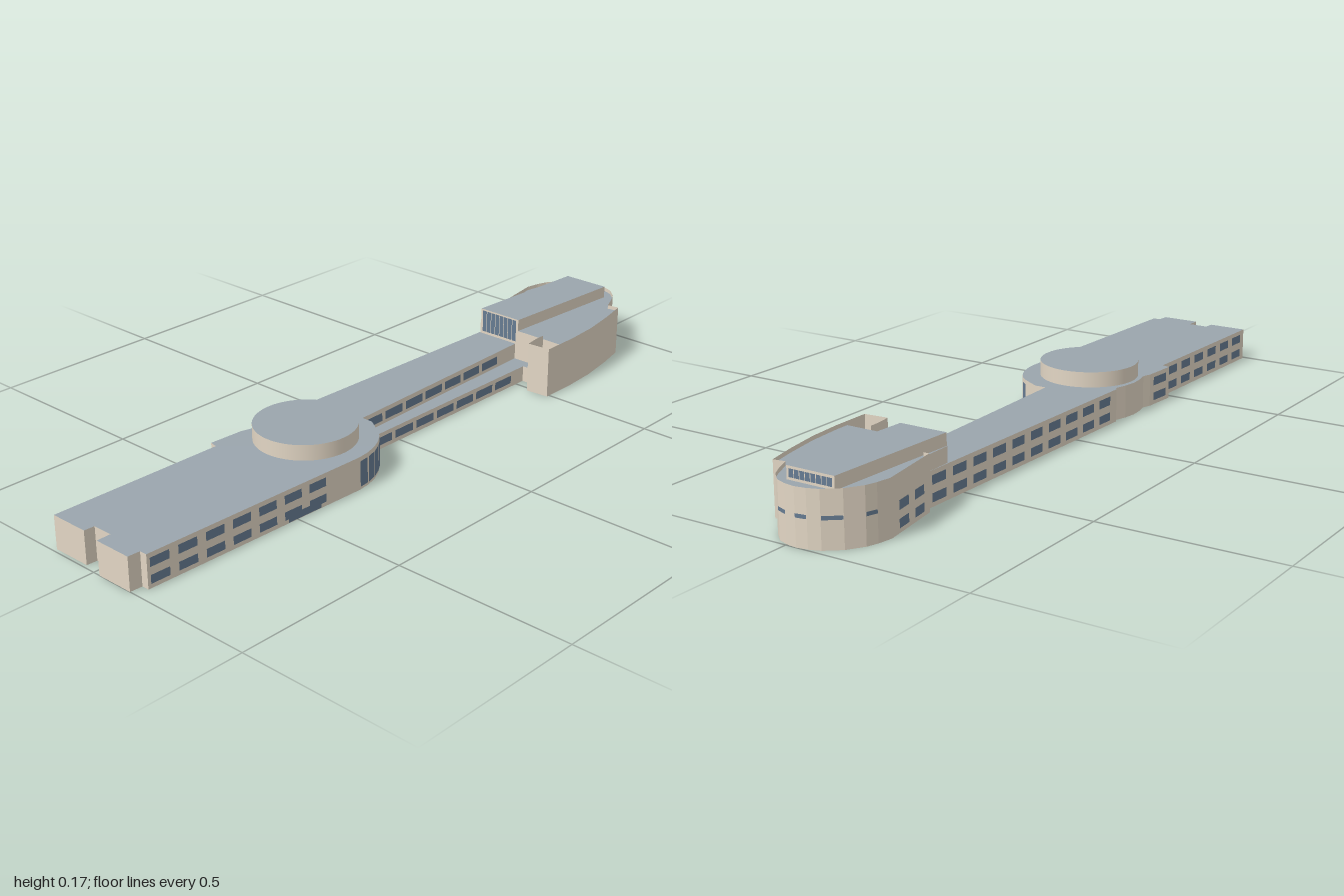
import * as THREE from 'three';

const wallMat = new THREE.MeshStandardMaterial({ color: 0xe2d6c4, side: THREE.DoubleSide });
wallMat.name = 'beige wall';
const roofMat = new THREE.MeshStandardMaterial({ color: 0x9aa5ad, side: THREE.DoubleSide });
roofMat.name = 'grey roof';
const glassMat = new THREE.MeshStandardMaterial({ color: 0x667b92 });
glassMat.name = 'blue glass';

// Plan points are [x, z], listed so the outside lies to the right of travel
const sideLeft = [[-0.13, -0.655], [-0.153, 0.2]];
const bulge = [[-0.145, 0.21], [-0.156, 0.245], [-0.161, 0.285], [-0.158, 0.32], [-0.15, 0.355],
  [-0.158, 0.38], [-0.164, 0.48], [-0.141, 0.485]];
const front = [[-0.15, 0.99], [-0.038, 0.99], [-0.036, 0.96], [0.021, 0.96], [0.021, 1], [0.13, 1],
  [0.132, 0.965], [0.153, 0.965]];
const sideRight = [[0.173, 0.285], [0.169, 0.25], [0.159, 0.215], [0.144, 0.185], [0.126, 0.16],
  [0.105, 0.142], [0.053, 0.11]];
const rear = [[0.1, -0.56], [0.1, -0.53], [0.106, -0.485], [0.174, -0.49], [0.174, -0.6], [0.167, -0.7],
  [0.15, -0.8], [0.131, -0.885], [0.097, -0.88], [0.075, -0.93], [0.06, -0.957], [0.03, -0.985],
  [0, -0.996], [-0.03, -1], [-0.06, -0.995], [-0.09, -0.984], [-0.13, -0.952], [-0.158, -0.91],
  [-0.168, -0.88], [-0.175, -0.84], [-0.146, -0.655], [-0.13, -0.655]];
const shelf = [[0.053, 0.11], [0.055, -0.53], [0.1, -0.53]];
const corridor = [[0.02, 0.11], [0, -0.56], [0.1, -0.56]];
const mainOutline = [...sideLeft, ...bulge, ...front, ...sideRight];

const LOW = 0.046, MAIN = 0.092, REAR_ROOF = 0.134, PARAPET = 0.145, TOP = 0.168, DRUM = 0.135;

// Point on the wall line a-b at a given z
function at(a, b, z) {
  return [a[0] + (b[0] - a[0]) * (z - a[1]) / (b[1] - a[1]), z];
}

export function createModel() {
  const group = new THREE.Group();

  function add(name, geometry, material) {
    const mesh = new THREE.Mesh(geometry, material);
    mesh.name = name;
    group.add(mesh);
    return mesh;
  }

  // Upright wall along a plan line
  function wall(name, pts, y0, y1) {
    const pos = [];
    for (let i = 0; i + 1 < pts.length; i++) {
      const [ax, az] = pts[i], [bx, bz] = pts[i + 1];
      pos.push(ax, y0, az, bx, y0, bz, bx, y1, bz, ax, y0, az, bx, y1, bz, ax, y1, az);
    }
    const g = new THREE.BufferGeometry();
    g.setAttribute('position', new THREE.Float32BufferAttribute(pos, 3));
    g.computeVertexNormals();
    add(name, g, wallMat);
  }

  // Flat slab over a plan outline
  function roof(name, pts, y) {
    const shape = new THREE.Shape(pts.map(([x, z]) => new THREE.Vector2(x, -z)));
    add(name, new THREE.ShapeGeometry(shape).rotateX(-Math.PI / 2).translate(0, y, 0), roofMat);
  }

  // Evenly spaced panes just outside the wall from a to b
  function windows(name, a, b, count, fill, y0, y1) {
    const dx = b[0] - a[0], dz = b[1] - a[1], length = Math.hypot(dx, dz);
    const gap = 0.0012 / length;
    for (let i = 0; i < count; i++) {
      const t = (i + 0.5) / count;
      const pane = add(name, new THREE.PlaneGeometry(length / count * fill, y1 - y0), glassMat);
      pane.position.set(a[0] + dx * t - dz * gap, (y0 + y1) / 2, a[1] + dz * t + dx * gap);
      pane.rotation.y = Math.atan2(-dz, dx);
    }
  }
  function twoStoreys(name, a, b, count, fill) {
    windows(name, a, b, count, fill, 0.012, 0.035);
    windows(name, a, b, count, fill, 0.056, 0.08);
  }

  // Main wing, its roof and the storey slab, which also roofs the lean-to
  wall('mainWall', [...mainOutline, corridor[0]], 0, MAIN);
  roof('mainRoof', [...mainOutline, ...corridor, ...rear.slice(1, -1)], MAIN);
  roof('storeySlab', [...mainOutline, ...shelf.slice(1), ...rear.slice(2, -1)], LOW);

  // Corridor with a lower lean-to on the +x side
  wall('corridorUpperWall', corridor, LOW, MAIN);
  wall('leanToWall', shelf, 0, LOW);

  // Tall rear wing: thin parapet around a sunken roof
  wall('rearWall', rear, 0, PARAPET);
  wall('rearRoofEdge', [[-0.13, -0.655], [-0.13, -0.56], [0.174, -0.56]], MAIN, REAR_ROOF);
  roof('rearRoof', [[-0.13, -0.56], [0.174, -0.56], ...rear.slice(4)], REAR_ROOF);

  // Rooftop block
  const block = [[-0.128, -0.56], [0.009, -0.56], [0.033, -0.95], [-0.105, -0.95]];
  wall('rooftopBlockWall', [...block, block[0]], MAIN, TOP);
  roof('rooftopBlockRoof', block, TOP);
  windows('rooftopFrontWindow', [-0.122, -0.56], [0.003, -0.56], 8, 0.88, 0.1, 0.164);
  windows('rooftopBackWindow', [0.027, -0.95], [-0.1, -0.95], 8, 0.88, 0.141, 0.162);

  // Round drum, its roof in two rings
  const drum = new THREE.Group();
  drum.name = 'drum';
  drum.position.set(-0.0105, 0, 0.292);
  group.add(drum);
  const drumParts = {
    drumWall: [new THREE.CylinderGeometry(0.1375, 0.1375, DRUM - MAIN, 48, 1, true), (DRUM + MAIN) / 2, wallMat],
    drumOuterRoof: [new THREE.RingGeometry(0.053, 0.1375, 48).rotateX(-Math.PI / 2), DRUM, roofMat],
    drumCentreRoof: [new THREE.CircleGeometry(0.053, 48).rotateX(-Math.PI / 2), DRUM, roofMat],
  };
  for (const [name, [geometry, y, material]] of Object.entries(drumParts)) {
    const part = add(name, geometry, material);
    part.position.y = y;
    drum.add(part);
  }

  // Windows on the +x side
  const flank = [front[7], sideRight[0]];
  twoStoreys('rightWindow', at(...flank, 0.97), at(...flank, 0.39), 7, 0.68);
  windows('rightLowWindow', at(...flank, 0.53), at(...flank, 0.42), 1, 1, 0.002, 0.022);
  for (let i = 0; i < 5; i++) {
    windows('curvedWindow', sideRight[i], sideRight[i + 1], 1, 0.85, 0.008, 0.08);
  }
  windows('curvedLowWindow', sideRight[5], sideRight[6], 2, 0.8, 0.012, 0.035);
  windows('leanToWindow', shelf[0], at(shelf[0], shelf[1], -0.48), 7, 0.84, 0.012, 0.035);
  windows('corridorUpperWindow', corridor[0], at(corridor[0], corridor[1], -0.48), 7, 0.84, 0.056, 0.08);

  // Windows on the -x side
  const frontLeft = [bulge[7], front[0]], rearLeft = [rear[19], rear[20]];
  twoStoreys('leftCorridorWindow', at(...sideLeft, -0.64), at(...sideLeft, 0.18), 10, 0.66);
  twoStoreys('leftBulgeWindow', bulge[5], bulge[6], 1, 0.65);
  twoStoreys('leftFrontWindow', at(...frontLeft, 0.5), at(...frontLeft, 0.98), 6, 0.66);
  twoStoreys('leftRearWindow', at(...rearLeft, -0.82), at(...rearLeft, -0.67), 2, 0.6);

  // Narrow slits around the curved rear
  for (let i = 9; i < 18; i += 2) {
    windows('rearSlitWindow', rear[i], rear[i + 1], 1, 0.95, 0.072, 0.082);
  }
  windows('rearSlitWindow', rear[8], rear[9], 1, 0.7, 0.072, 0.082);

  return group;
}
